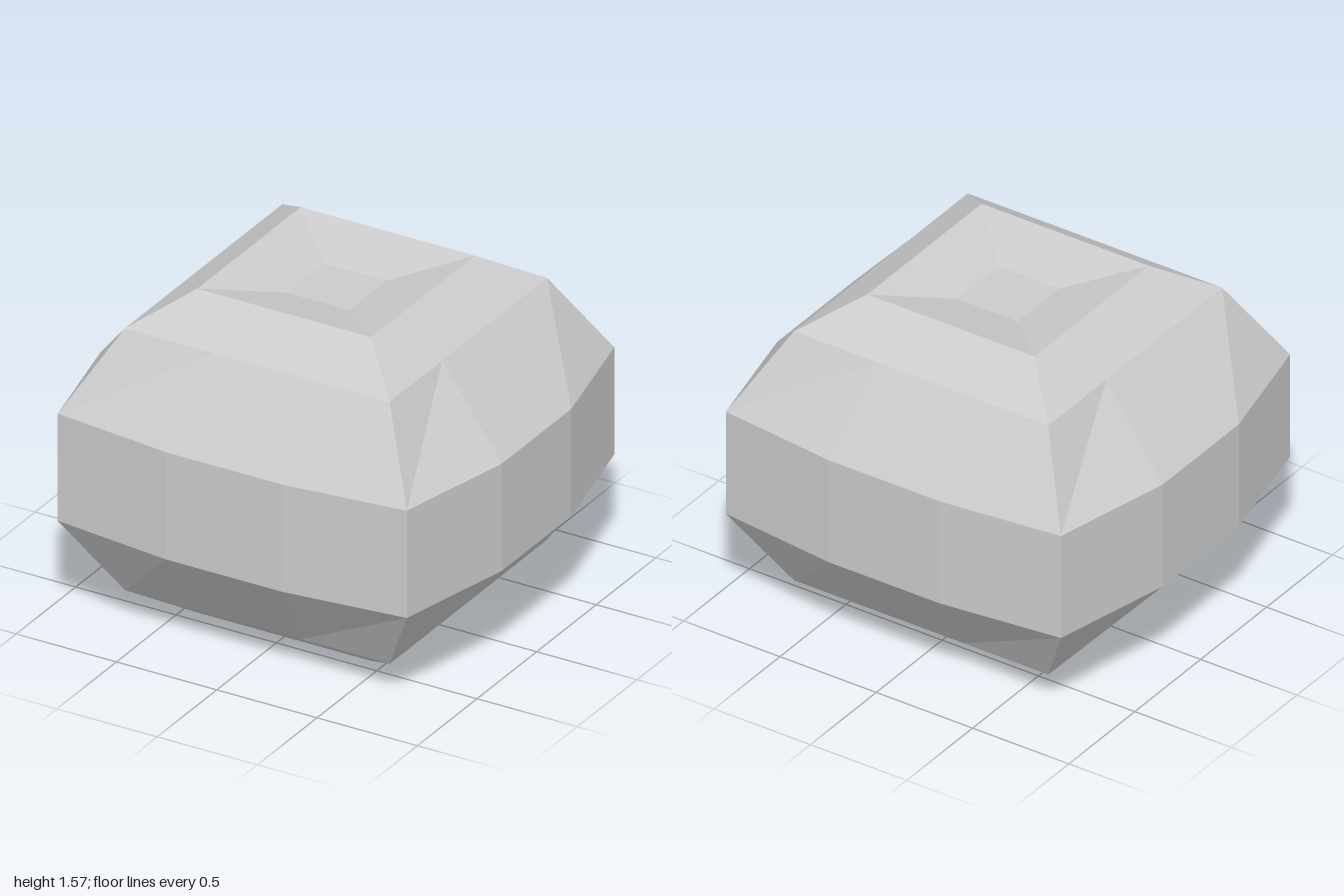
import * as THREE from 'three';

// Twelve-point loop: square corners, with two points bulging out on each side
function loop({ y, corner, mid, bulgeX = corner, bulgeZ = corner }) {
  const side = [[-corner, corner], [-mid, bulgeZ], [mid, bulgeZ], [corner, corner], [bulgeX, mid], [bulgeX, -mid]];
  return [...side, ...side.map(([x, z]) => [-x, -z])].map(([x, z]) => [x, y, z]);
}

export function createModel() {
  const height = 1.57;
  // Lower half profile, from the recessed floor out to the belt
  const lower = [
    { y: 0.07, corner: 0.157, mid: 0.055 },
    { y: 0, corner: 0.434, mid: 0.15 },
    { y: 0.15, corner: 0.66, mid: 0.22 },
    { y: 0.525, corner: 0.87, mid: 0.29, bulgeX: 1, bulgeZ: 0.937 },
  ];
  const upper = lower.map((r) => ({ ...r, y: height - r.y })).reverse();
  const rings = [...lower, ...upper].map(loop);

  const positions = [];
  const tri = (a, b, c) => positions.push(...a, ...b, ...c);

  // Bands between neighbouring loops
  for (let i = 0; i < rings.length - 1; i++) {
    for (let j = 0; j < 12; j++) {
      const k = (j + 1) % 12;
      const a = rings[i][j], b = rings[i][k], c = rings[i + 1][k], d = rings[i + 1][j];
      tri(a, b, c);
      tri(a, c, d);
    }
  }

  // Flat floors of the bottom and top recesses
  const first = rings[0], last = rings[rings.length - 1];
  for (let j = 0; j < 12; j++) {
    const k = (j + 1) % 12;
    tri([0, first[0][1], 0], first[k], first[j]);
    tri([0, last[0][1], 0], last[j], last[k]);
  }

  const geometry = new THREE.BufferGeometry();
  geometry.setAttribute('position', new THREE.Float32BufferAttribute(positions, 3));
  geometry.computeVertexNormals();

  const body = new THREE.Mesh(geometry, new THREE.MeshStandardMaterial({ color: 0xcccccc, flatShading: true }));
  body.name = 'facetedBody';

  const group = new THREE.Group();
  group.name = 'facetedBlock';
  group.add(body);
  return group;
}
